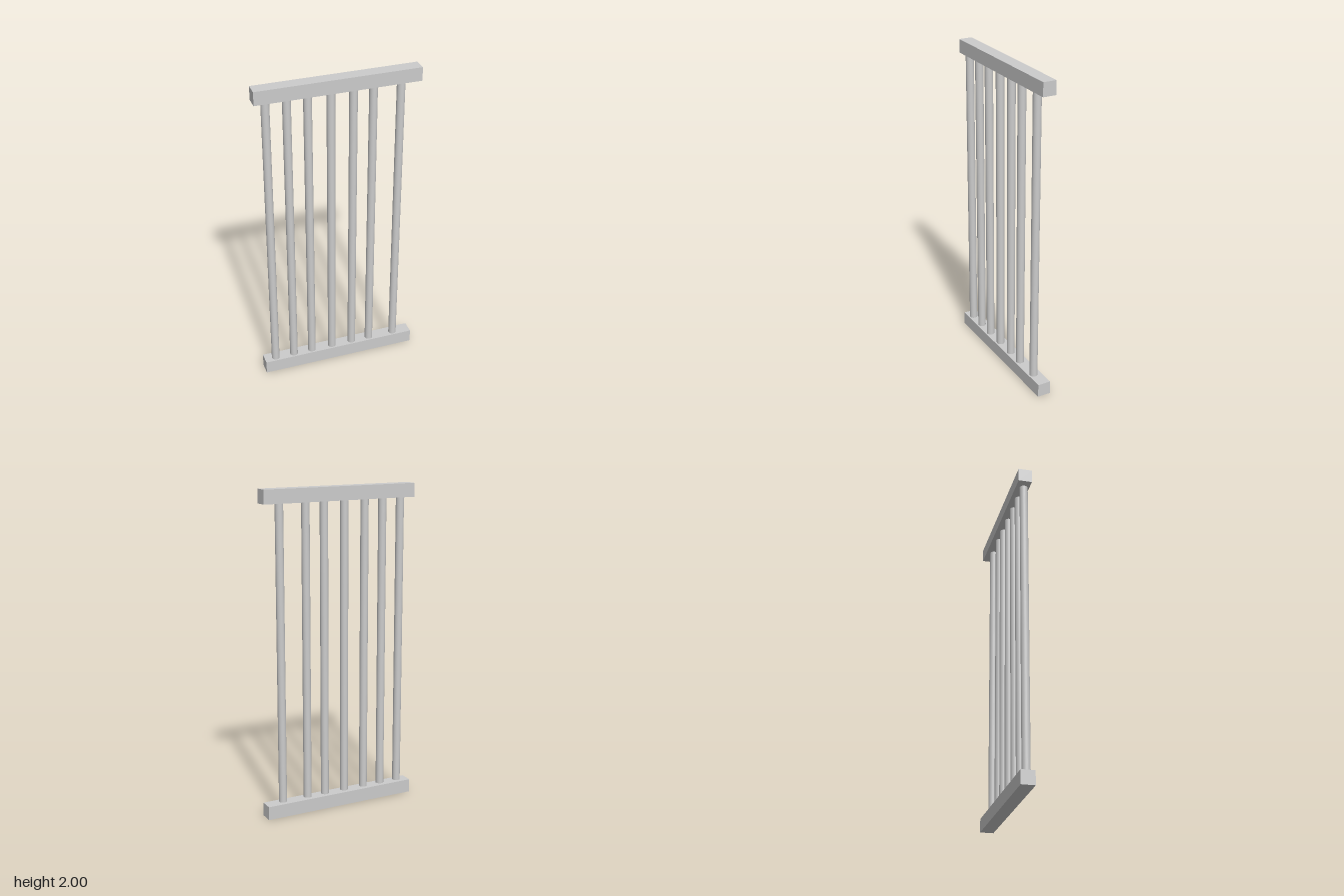
import * as THREE from 'three';

export function createModel() {
  const group = new THREE.Group();
  const material = new THREE.MeshStandardMaterial({ color: 0xcccccc });
  const height = 2, railHeight = 0.084, railDepth = 0.083;

  function add(name, geometry, x, y, z) {
    const mesh = new THREE.Mesh(geometry, material);
    mesh.name = name;
    mesh.position.set(x, y, z);
    group.add(mesh);
  }

  // Top and bottom rails
  const rail = new THREE.BoxGeometry(1, railHeight, railDepth);
  add('bottomRail', rail, 0, railHeight / 2, 0);
  add('topRail', rail, 0, height - railHeight / 2, 0);

  // Unevenly spaced round bars, set slightly forward of the rail centre
  const bar = new THREE.CylinderGeometry(0.025, 0.025, height - 2 * railHeight, 24);
  [-0.428, -0.304, -0.181, -0.043, 0.093, 0.214, 0.383].forEach((x, i) =>
    add(`bar${i + 1}`, bar, x, height / 2, 0.008));

  return group;
}
